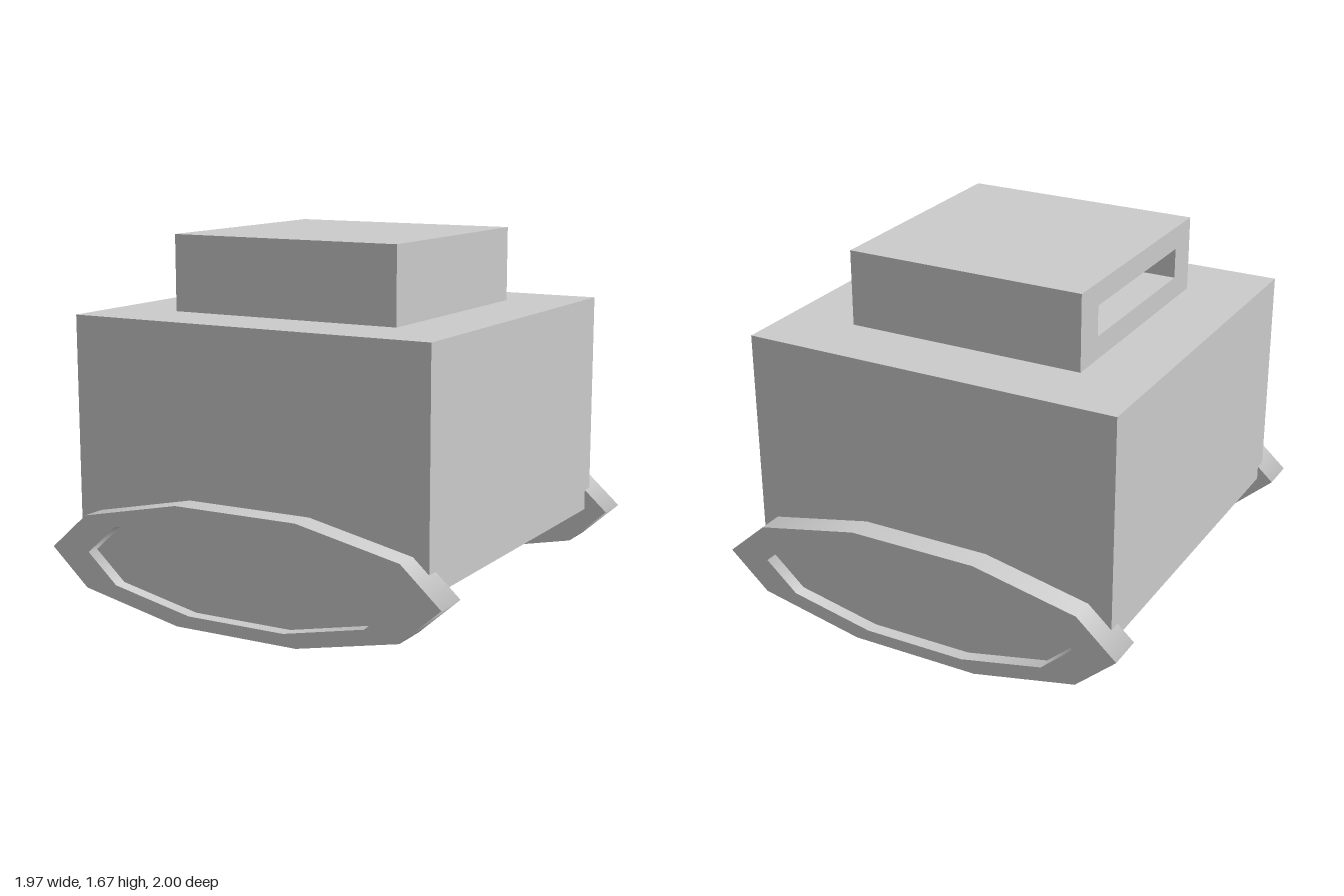
import * as THREE from 'three';

const grey = new THREE.MeshStandardMaterial({ color: 0xcccccc });
const greyInside = new THREE.MeshStandardMaterial({ color: 0xcccccc, side: THREE.BackSide });

function part(name, geometry, parent, material = grey) {
  const mesh = new THREE.Mesh(geometry, material);
  mesh.name = name;
  parent.add(mesh);
  return mesh;
}

function box(name, parent, x0, x1, y0, y1, z0, z1) {
  const mesh = part(name, new THREE.BoxGeometry(x1 - x0, y1 - y0, z1 - z0), parent);
  mesh.position.set((x0 + x1) / 2, (y0 + y1) / 2, (z0 + z1) / 2);
  return mesh;
}

// Open ten-sided wall along z, with a corner on the x axis
function wall(radius, z0, z1) {
  return new THREE.CylinderGeometry(radius, radius, z1 - z0, 10, 1, true, Math.PI / 2)
    .rotateX(Math.PI / 2).translate(0, 0, (z0 + z1) / 2);
}

// Flattened ten-sided plate with a recessed outer face
function endPlate(name) {
  const R = 0.983, r = 0.782, back = 0.825, floor = 0.94, front = 1;
  const plate = new THREE.Group();
  plate.name = name;
  part('plateRim', wall(R, back, front), plate);
  part('plateFace', new THREE.RingGeometry(r, R, 10).translate(0, 0, front), plate);
  part('recessWall', wall(r, floor, front), plate, greyInside);
  part('recessFloor', new THREE.CircleGeometry(r, 10).translate(0, 0, floor), plate);
  part('plateBack', new THREE.CircleGeometry(R, 10).rotateY(Math.PI).translate(0, 0, back), plate);
  plate.scale.y = 0.29;
  plate.position.y = 0.272;
  return plate;
}

export function createModel() {
  const model = new THREE.Group();
  model.name = 'model';

  box('body', model, -0.905, 0.87, 0.275, 1.325, -0.885, 0.885);

  // Top block: solid core, with a slotted frame on the -x side
  const top = new THREE.Group();
  top.name = 'topBlock';
  model.add(top);
  const x0 = -0.585, xSlot = 0, x1 = 0.545, y0 = 1.325, y1 = 1.675, zr = 0.565;
  box('topCore', top, xSlot, x1, y0, y1, -zr, zr);
  const outline = new THREE.Shape([
    new THREE.Vector2(-zr, y0), new THREE.Vector2(zr, y0),
    new THREE.Vector2(zr, y1), new THREE.Vector2(-zr, y1),
  ]);
  outline.holes.push(new THREE.Path([
    new THREE.Vector2(-0.405, 1.43), new THREE.Vector2(-0.405, 1.57),
    new THREE.Vector2(0.405, 1.57), new THREE.Vector2(0.405, 1.43),
  ]));
  const frame = new THREE.ExtrudeGeometry(outline, { depth: xSlot - x0, bevelEnabled: false });
  part('slotFrame', frame.rotateY(-Math.PI / 2).translate(xSlot, 0, 0), top);

  // Matching plates at front and back
  model.add(endPlate('frontPlate'));
  const rear = endPlate('backPlate');
  rear.rotation.y = Math.PI;
  model.add(rear);

  return model;
}
